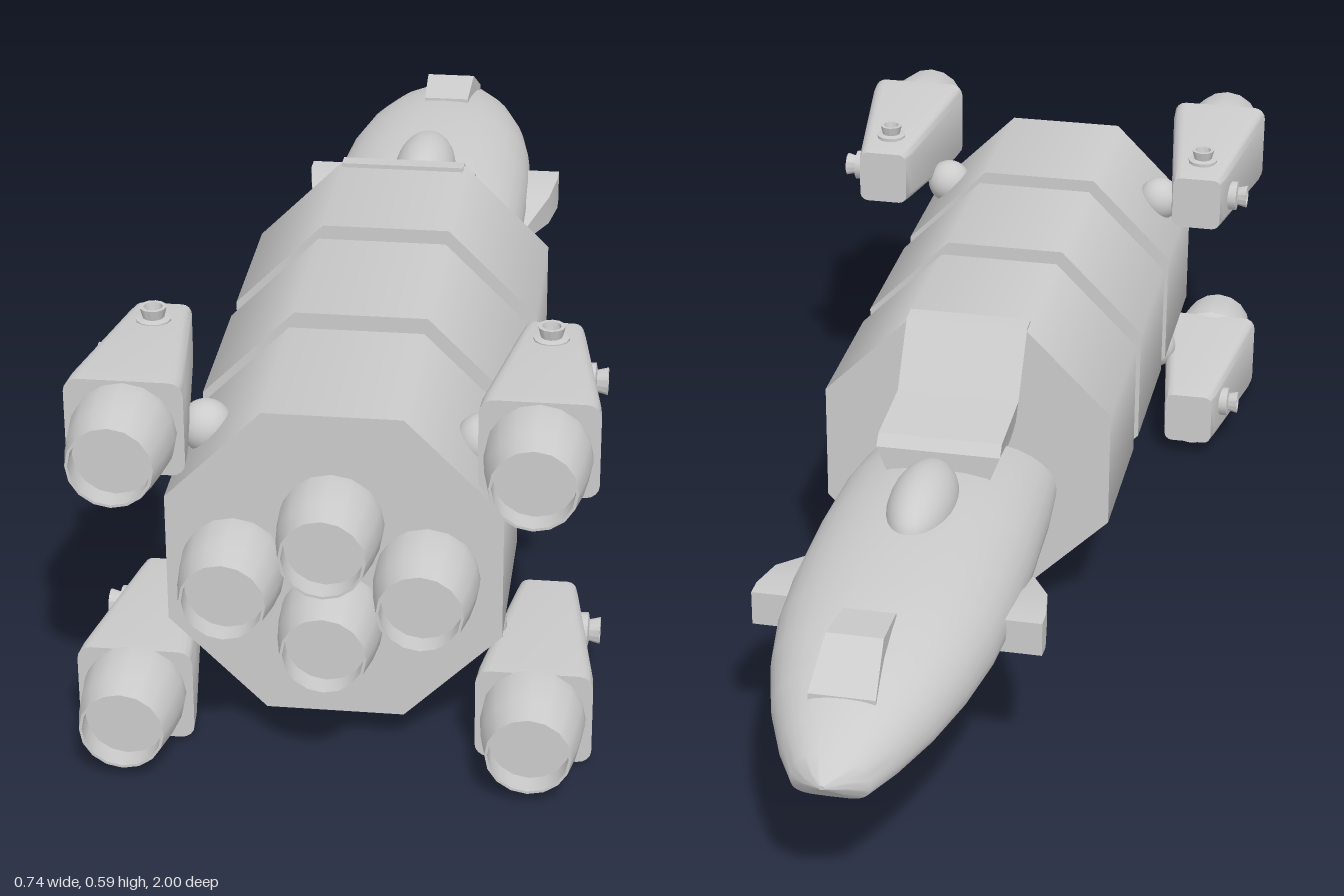
import * as THREE from 'three';
import { toCreasedNormals } from 'three/addons/utils/BufferGeometryUtils.js';

const CY = 0.293; // height of the ship's long axis
const grey = new THREE.MeshStandardMaterial({ color: 0xcccccc, side: THREE.DoubleSide });

function add(group, name, geometry, x = 0, y = 0, z = 0) {
  const mesh = new THREE.Mesh(geometry, grey);
  mesh.name = name;
  mesh.position.set(x, y, z);
  group.add(mesh);
  return mesh;
}

// Skins rings of [x, y, z] points (counter-clockwise, running towards -z) and caps both ends
function loft(rings, crease = 0.6) {
  const n = rings[0].length, index = [];
  const centre = ring => [0, 1, 2].map(k => ring.reduce((s, p) => s + p[k], 0) / n);
  const points = [...rings.flat(), centre(rings[0]), centre(rings.at(-1))];
  const last = (rings.length - 1) * n, c0 = rings.length * n;
  for (let j = 0; j < n; j++) {
    const k = (j + 1) % n;
    for (let i = 0; i < last; i += n) {
      index.push(i + j, i + n + j, i + k, i + k, i + n + j, i + n + k);
    }
    index.push(c0, j, k, c0 + 1, last + k, last + j);
  }
  const g = new THREE.BufferGeometry();
  g.setAttribute('position', new THREE.Float32BufferAttribute(points.flat(), 3));
  g.setIndex(index);
  return toCreasedNormals(g, crease);
}

function roundedSquare(h, v, r, z) {
  const ring = [];
  [[1, 1], [-1, 1], [-1, -1], [1, -1]].forEach(([sx, sy], q) => {
    for (let i = 0; i <= 4; i++) {
      const a = (q + i / 4) * Math.PI / 2;
      ring.push([sx * (h - r) + r * Math.cos(a), sy * (v - r) + r * Math.sin(a), z]);
    }
  });
  return ring;
}

const rect = (x0, x1, y0, y1, z) => [[x1, y1, z], [x0, y1, z], [x0, y0, z], [x1, y0, z]];

// Octagonal drum lying along z, flats facing up and sideways
function drum(apothem, z0, z1) {
  const g = new THREE.CylinderGeometry(1, 1, z1 - z0, 8);
  g.scale(apothem / Math.cos(Math.PI / 8), 1, apothem / Math.cos(Math.PI / 8));
  g.rotateY(Math.PI / 8).rotateX(Math.PI / 2);
  return g.translate(0, CY, (z0 + z1) / 2);
}

function nozzle() {
  const profile = [[0.062, 0], [0.074, 0.015], [0.075, 0.035], [0.07, 0.08], [0.061, 0.125],
    [0.057, 0.125], [0.058, 0.09], [0, 0.09]].map(p => new THREE.Vector2(...p));
  return toCreasedNormals(new THREE.LatheGeometry(profile, 16).rotateX(Math.PI / 2), 0.6);
}

function thruster() {
  const profile = [[0.026, -0.01], [0.026, 0.008], [0.016, 0.01], [0.02, 0.026], [0.014, 0.026], [0.011, 0.012], [0, 0.012]];
  return toCreasedNormals(new THREE.LatheGeometry(profile.map(p => new THREE.Vector2(...p)), 12), 0.6);
}

// Flat-bottomed domed hull section
function hullRing([z, w, top, bottom]) {
  const ring = [], mid = bottom + (top - bottom) * 0.33;
  for (let i = 0; i < 32; i++) {
    const a = i / 32 * Math.PI * 2, c = Math.cos(a), s = Math.sin(a);
    const x = Math.sign(c) * Math.abs(c) ** (s < 0 ? 0.5 : 0.85) * w;
    ring.push([x, mid + (s > 0 ? s * (top - mid) : Math.sign(s) * Math.abs(s) ** 0.7 * (mid - bottom)), z]);
  }
  return ring;
}

// Stepped arm gripping the shuttle; flip = true makes the lower one
function clamp(flip) {
  const side = [[0, 0.54], [0.03, 0.538], [0.1, 0.44], [0.235, 0.432], [0.25, 0.415],
    [0.25, 0.35], [0.09, 0.335], [0, 0.335]];
  const shape = new THREE.Shape(side.map(([x, y]) => new THREE.Vector2(x, flip ? 2 * CY - y : y)));
  const g = new THREE.ExtrudeGeometry(shape, { depth: 0.2, bevelEnabled: false });
  g.translate(0, 0, -0.1).rotateY(Math.PI / 2);
  const p = g.attributes.position;
  for (let i = 0; i < p.count; i++) {
    if (Math.abs(p.getY(i) - CY) < 0.08) p.setX(i, p.getX(i) * 0.75);
  }
  return toCreasedNormals(g, 0.3);
}

function createShuttle() {
  const shuttle = new THREE.Group();
  shuttle.name = 'shuttle';
  // z, half width, top, bottom
  const hull = [
    [-0.09, 0.163, 0.36, 0.24], [-0.2, 0.172, 0.382, 0.238], [-0.35, 0.176, 0.39, 0.237],
    [-0.5, 0.175, 0.39, 0.237], [-0.62, 0.167, 0.386, 0.237], [-0.72, 0.15, 0.377, 0.237],
    [-0.82, 0.122, 0.357, 0.237], [-0.9, 0.089, 0.332, 0.237], [-0.955, 0.058, 0.31, 0.237],
    [-0.98, 0.03, 0.295, 0.26], [-1, 0.004, 0.285, 0.278]];
  add(shuttle, 'shuttleHull', loft(hull.map(hullRing)));
  add(shuttle, 'bellyPod', new THREE.SphereGeometry(1, 32, 20).scale(0.115, 0.07, 0.33), 0, 0.245, -0.46);
  add(shuttle, 'dorsalBump', new THREE.SphereGeometry(1, 24, 16).scale(0.053, 0.058, 0.115), 0, 0.38, -0.36);
  // Raised cockpit wedge, wider at the front
  add(shuttle, 'cockpit', loft([
    rect(-0.035, 0.045, 0.33, 0.384, -0.69), rect(-0.038, 0.048, 0.32, 0.396, -0.78),
    rect(-0.046, 0.054, 0.3, 0.345, -0.865)], 0.2));
  // Side fairings with blunt forward faces
  for (const s of [1, -1]) {
    const fin = (outer, y0, y1, z) => s > 0 ? rect(0.12, outer, y0, y1, z) : rect(-outer, -0.12, y0, y1, z);
    add(shuttle, s > 0 ? 'leftFairing' : 'rightFairing', loft([
      fin(0.178, 0.25, 0.272, -0.36), fin(0.215, 0.247, 0.298, -0.45),
      fin(0.226, 0.247, 0.306, -0.52), fin(0.226, 0.25, 0.306, -0.55)], 0.45));
  }
  return shuttle;
}

// Booster pod modelled as upper left; mirrored by sx and sy
function createPod(sx, sy) {
  const pod = new THREE.Group();
  pod.name = (sy > 0 ? 'upper' : 'lower') + (sx > 0 ? 'Left' : 'Right') + 'Pod';
  pod.position.set(sx * 0.288, CY + sy * 0.217, 0);
  add(pod, 'podBody', loft([
    roundedSquare(0.084, 0.072, 0.02, 0.89), roundedSquare(0.082, 0.071, 0.02, 0.86),
    roundedSquare(0.048, 0.051, 0.016, 0.62), roundedSquare(0.043, 0.047, 0.014, 0.59)]));
  add(pod, 'podNozzle', nozzle(), 0, -0.005 * sy, 0.875);
  const vertical = add(pod, 'verticalThruster', thruster(), 0, sy * 0.05, 0.66);
  if (sy < 0) vertical.rotation.z = Math.PI;
  add(pod, 'sideThruster', thruster(), sx * 0.057, -sy * 0.008, 0.66).rotation.z = -sx * Math.PI / 2;
  add(pod, 'podJoint', new THREE.SphereGeometry(0.039, 24, 16), -sx * 0.089, -sy * 0.065, 0.75);
  return pod;
}

export function createModel() {
  const model = new THREE.Group();
  model.name = 'spaceship';

  // Octagonal booster: three wide sections on a narrower core
  add(model, 'boosterCore', drum(0.173, -0.02, 0.86));
  [[-0.03, 0.235], [0.285, 0.55], [0.6, 0.87]].forEach(([a, b], i) => add(model, 'boosterSection' + (i + 1), drum(0.24, a, b)));

  // Main engines in a diamond
  [[0, 0.375], [0, 0.22], [0.135, 0.297], [-0.14, 0.297]].forEach(([x, y], i) =>
    add(model, 'mainNozzle' + (i + 1), nozzle(), x, y, 0.868));

  add(model, 'upperClamp', clamp(false));
  add(model, 'lowerClamp', clamp(true));
  model.add(createShuttle());
  for (const sx of [1, -1]) for (const sy of [1, -1]) model.add(createPod(sx, sy));
  return model;
}
